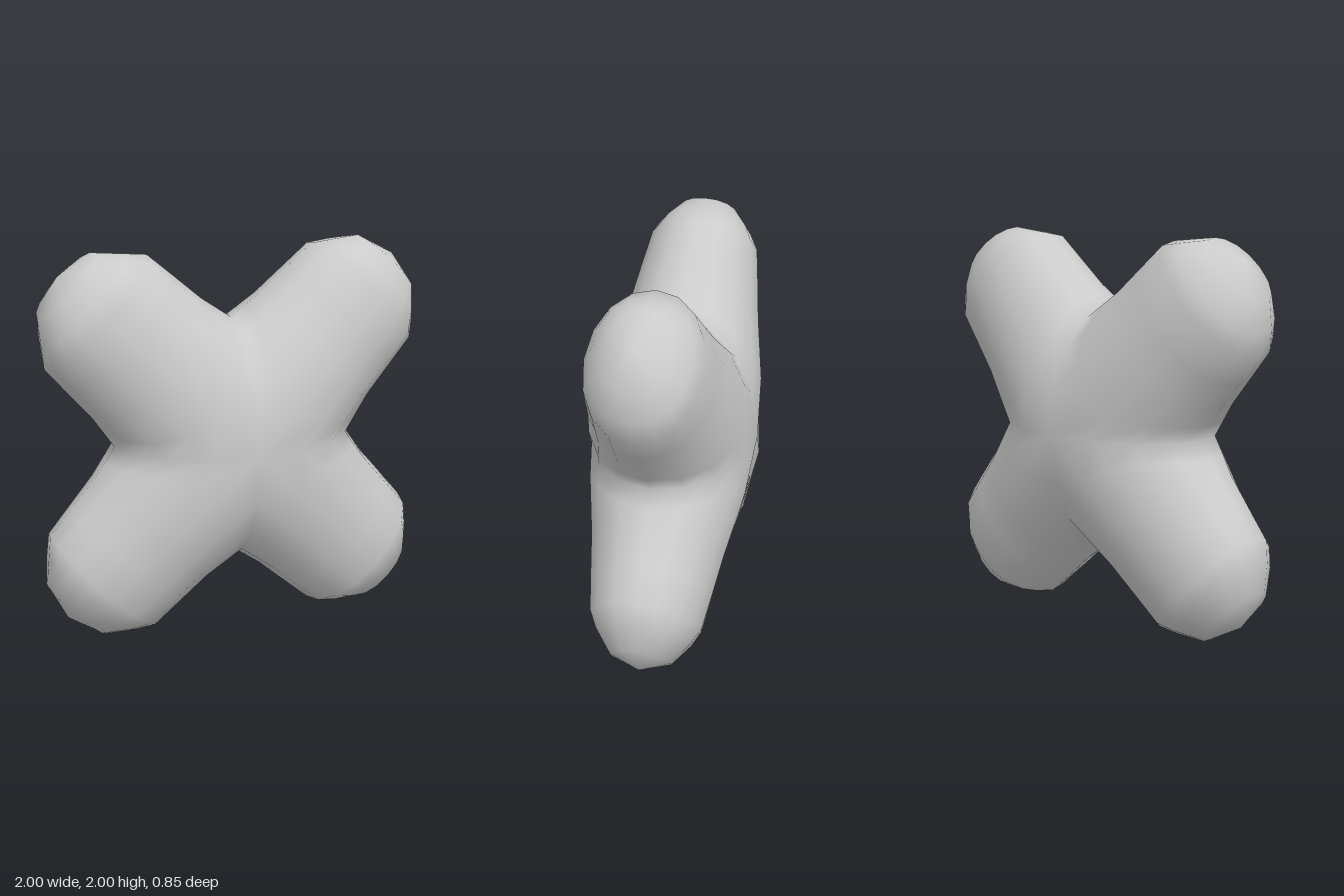
import * as THREE from 'three';
import { mergeVertices } from 'three/addons/utils/BufferGeometryUtils.js';

const SIDES = 16;
// Arm cross-sections: distance along the diagonal at the sides and at the ridge,
// half width, half depth, squareness (2 = ellipse)
const RINGS = [
  [0.442, 0, 0.442, 0.425, 2],
  [0.54, 0.31, 0.424, 0.403, 2],
  [0.633, 0.633, 0.407, 0.343, 2],
  [0.82, 0.82, 0.393, 0.315, 2],
  [1.0, 1.02, 0.378, 0.283, 2.05],
  [1.09, 1.1, 0.304, 0.24, 2.25],
  [1.202, 1.21, 0.212, 0.155, 2.1],
  [1.266, 1.266, 0, 0, 2],
];

const power = (v, n) => Math.sign(v) * Math.pow(Math.abs(v), 2 / n);

// Four equal arms, meeting on the planes between them, welded into one skin
function crossGeometry() {
  const positions = [];
  const indices = [];
  for (let arm = 0; arm < 4; arm++) {
    const angle = Math.PI / 4 + arm * Math.PI / 2;
    const dx = Math.cos(angle), dy = Math.sin(angle);
    const base = positions.length / 3;
    RINGS.forEach(([sSide, sRidge, width, depth, n], i) => {
      for (let j = 0; j < SIDES; j++) {
        const a = (j / SIDES) * Math.PI * 2;
        const c = Math.cos(a);
        // the first ring follows the mitre planes between neighbouring arms
        const k = i === 0 ? Math.abs(c) : c * c;
        const s = sRidge + (sSide - sRidge) * k;
        const t = width * power(c, n);
        const z = depth * power(Math.sin(a), n);
        positions.push(s * dx - t * dy, s * dy + t * dx + 1, z);
        if (i === RINGS.length - 1) continue;
        const p = base + i * SIDES + j;
        const q = base + i * SIDES + (j + 1) % SIDES;
        indices.push(p, q, q + SIDES, p, q + SIDES, p + SIDES);
      }
    });
  }
  const geometry = new THREE.BufferGeometry();
  geometry.setAttribute('position', new THREE.Float32BufferAttribute(positions, 3));
  geometry.setIndex(indices);
  const welded = mergeVertices(geometry, 1e-4);
  welded.computeVertexNormals();
  return welded;
}

export function createModel() {
  const group = new THREE.Group();
  group.name = 'roundedCross';
  const body = new THREE.Mesh(
    crossGeometry(),
    new THREE.MeshStandardMaterial({ color: 0xcccccc })
  );
  body.name = 'crossBody';
  group.add(body);
  return group;
}
